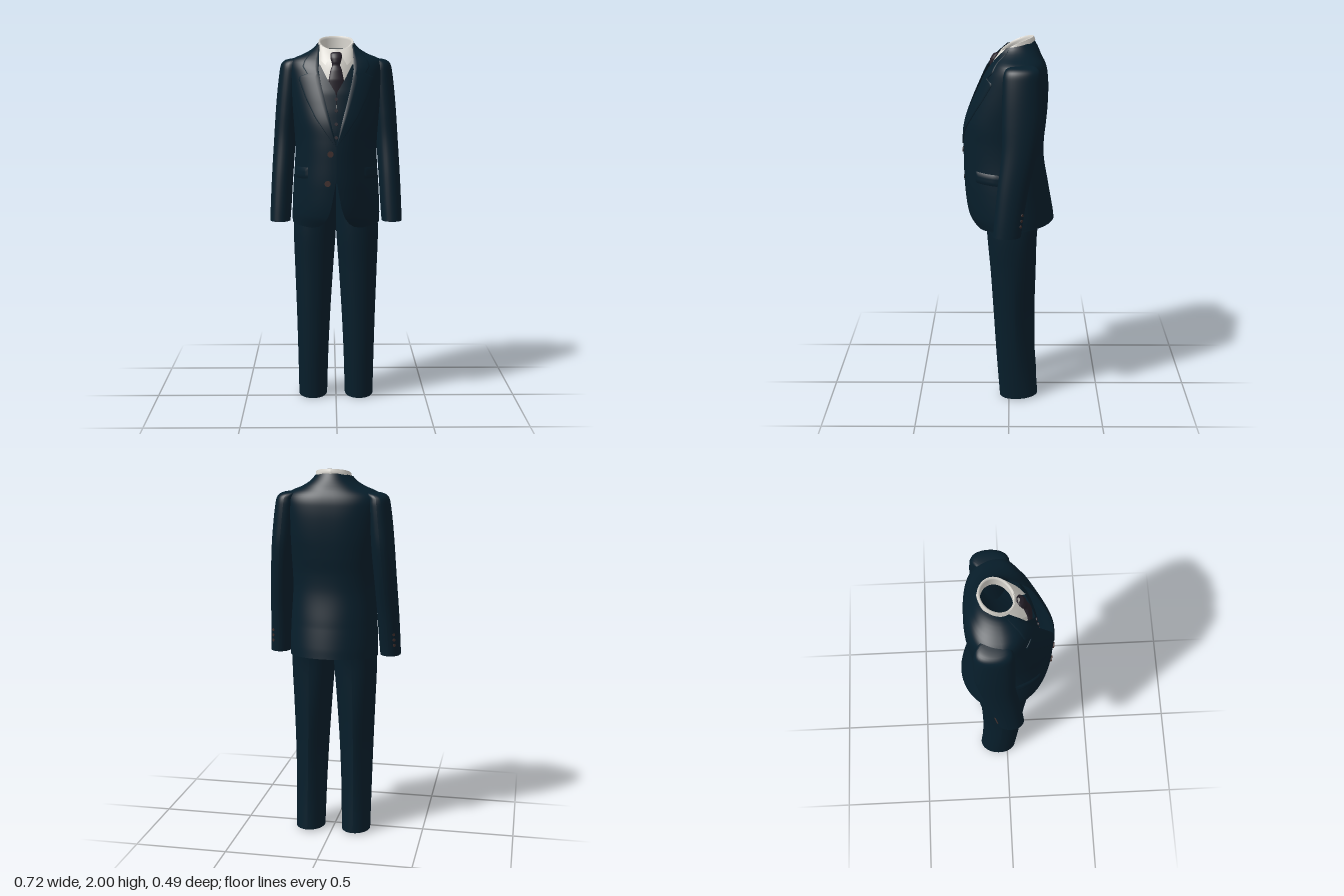
import * as THREE from 'three';

const mat = (name, color) => new THREE.MeshStandardMaterial({ name, color, side: THREE.DoubleSide });
const lerp = THREE.MathUtils.lerp;

// Reads a table of [y, a, b, ...] rows at height y, straight or smoothed
function read(table, y, smooth = false) {
  const n = table.length;
  let i = 0;
  while (i < n - 2 && y > table[i + 1][0]) i++;
  const p = table[i], q = table[i + 1];
  const h = q[0] - p[0], t = THREE.MathUtils.clamp((y - p[0]) / h, 0, 1);
  const o = table[Math.max(i - 1, 0)], r = table[Math.min(i + 2, n - 1)];
  return p.slice(1).map((a, k) => {
    const b = q[k + 1];
    if (!smooth) return lerp(a, b, t);
    const m0 = (b - o[k + 1]) / (q[0] - o[0]) * h, m1 = (r[k + 1] - a) / (r[0] - p[0]) * h;
    const t2 = t * t, t3 = t2 * t;
    return (2 * t3 - 3 * t2 + 1) * a + (t3 - 2 * t2 + t) * m0 + (3 * t2 - 2 * t3) * b + (t3 - t2) * m1;
  });
}

// Smooth sheet from a rule point(u, v), with u and v from 0 to 1
function sheet(name, material, nu, nv, point) {
  const pos = [], idx = [];
  for (let j = 0; j <= nv; j++) {
    for (let i = 0; i <= nu; i++) {
      pos.push(...point(i / nu, j / nv));
      if (i < nu && j < nv) {
        const a = j * (nu + 1) + i, b = a + nu + 1;
        idx.push(a, a + 1, b, a + 1, b + 1, b);
      }
    }
  }
  const g = new THREE.BufferGeometry();
  g.setAttribute('position', new THREE.Float32BufferAttribute(pos, 3));
  g.setIndex(idx);
  g.computeVertexNormals();
  const m = new THREE.Mesh(g, material);
  m.name = name;
  return m;
}

const pw = (c, e) => Math.sign(c) * Math.abs(c) ** e;

// Jacket body: y, half width, front z, back z, squareness of the back
const BODY = [
  [0.985, 0.238, 0.185, -0.243, 1], [1.05, 0.238, 0.218, -0.236, 1], [1.2, 0.232, 0.238, -0.213, 1],
  [1.35, 0.222, 0.243, -0.187, 0.95], [1.45, 0.222, 0.243, -0.185, 0.9], [1.55, 0.23, 0.236, -0.195, 0.85],
  [1.65, 0.24, 0.207, -0.203, 0.8], [1.75, 0.248, 0.168, -0.205, 0.78], [1.82, 0.252, 0.135, -0.2, 0.78],
  [1.85, 0.25, 0.115, -0.193, 0.8], [1.872, 0.24, 0.098, -0.184, 0.84], [1.888, 0.214, 0.085, -0.175, 0.88],
  [1.905, 0.17, 0.075, -0.166, 0.93], [1.93, 0.122, 0.06, -0.149, 1], [1.95, 0.101, 0.05, -0.131, 1]];
// Front edge of the jacket: y, x
const EDGE = [
  [0.985, 0.13], [0.995, 0.095], [1.015, 0.068], [1.05, 0.045], [1.1, 0.028], [1.2, 0.01],
  [1.26, 0], [1.43, 0], [1.55, 0.028], [1.65, 0.055], [1.75, 0.08], [1.82, 0.092], [1.95, 0.088]];
// Outer edge of lapel and collar, with the notch: y, x
const LAPEL = [
  [1.43, 0.004], [1.5, 0.055], [1.58, 0.11], [1.68, 0.16], [1.775, 0.195], [1.79, 0.188],
  [1.8, 0.15], [1.84, 0.175], [1.87, 0.165], [1.9, 0.14], [1.94, 0.102]];
// Sleeve: y, centre x, centre z, half width, half depth
const SLEEVE = [
  [1.008, 0.304, 0.01, 0.055, 0.073], [1.1, 0.299, 0.0, 0.057, 0.075], [1.25, 0.291, -0.02, 0.058, 0.08],
  [1.45, 0.278, -0.053, 0.059, 0.09], [1.6, 0.266, -0.065, 0.061, 0.1], [1.72, 0.254, -0.066, 0.062, 0.1],
  [1.82, 0.244, -0.066, 0.059, 0.096], [1.85, 0.24, -0.066, 0.055, 0.09], [1.865, 0.231, -0.066, 0.052, 0.082],
  [1.875, 0.218, -0.066, 0.046, 0.068], [1.881, 0.2, -0.066, 0.03, 0.045], [1.884, 0.19, -0.066, 0.002, 0.004]];
// Trouser leg: y, inner x, outer x, front z, back z, sharpness of the back crease
const LEG = [
  [0.003, 0.05, 0.208, 0.051, -0.16, 1], [0.25, 0.043, 0.212, 0.069, -0.145, 1.25],
  [0.5, 0.031, 0.218, 0.084, -0.14, 1.4], [0.75, 0.015, 0.226, 0.1, -0.145, 1.15],
  [0.95, 0.001, 0.231, 0.117, -0.15, 0.9], [1.1, -0.004, 0.222, 0.124, -0.165, 0.86],
  [1.25, -0.004, 0.203, 0.125, -0.155, 0.9]];
// Waistcoat: y, neck opening x, front z
const VEST = [
  [1.2, 0, 0.165], [1.35, 0, 0.172], [1.5, 0, 0.17], [1.6, 0, 0.16], [1.7, 0.002, 0.143], [1.78, 0.05, 0.116],
  [1.85, 0.085, 0.09]];
const SHIRT = [[1.62, 0.12], [1.75, 0.108], [1.85, 0.085], [1.93, 0.045]];
// Tie: y, half width, centre z, half depth
const TIE = [
  [1.64, 0.036, 0.115, 0.008], [1.7, 0.04, 0.118, 0.012], [1.77, 0.04, 0.113, 0.014], [1.82, 0.03, 0.1, 0.013],
  [1.845, 0.02, 0.089, 0.011], [1.86, 0.024, 0.085, 0.018], [1.885, 0.031, 0.076, 0.022],
  [1.908, 0.029, 0.066, 0.017], [1.915, 0.015, 0.061, 0.005]];

const ZC = -0.03;
// Point on the front of the jacket body, pushed out by d
function onBody(x, y, d) {
  const [w, f] = read(BODY, y, true), D = f - ZC;
  const c = Math.sqrt(Math.max(0, 1 - (x / w) ** 2));
  const n = new THREE.Vector2(x / (w * w), c / D).normalize();
  return [x + n.x * d, y, ZC + D * c + n.y * d];
}

// Top rim of the shirt collar, at angle a from the front
const rim = (a, r) => [r * Math.sin(a), 1.9625 - 0.0375 * Math.cos(a) + 0.01 * Math.sin(a) ** 2,
  -0.042 + (r - 0.007) * Math.cos(a)];

function button(material, r, p, dir) {
  const m = new THREE.Mesh(new THREE.CylinderGeometry(r, r, 0.008, 14), material);
  m.position.set(...p);
  m.quaternion.setFromUnitVectors(new THREE.Vector3(0, 1, 0), new THREE.Vector3(...dir).normalize());
  m.name = 'button';
  return m;
}

export function createModel() {
  const navy = mat('navy wool', 0x071e2b), white = mat('shirt white', 0xdad7d0);
  const dark = mat('tie charcoal', 0x241f28), brown = mat('button brown', 0x3d2c2a);
  const suit = new THREE.Group();
  suit.name = 'suit';

  // Jacket body, from one front edge round the back to the other
  suit.add(sheet('jacketBody', navy, 72, 96, (u, v) => {
    const y = lerp(0.985, 1.95, v), [w, f, b, e] = read(BODY, y, true), [xo] = read(EDGE, y);
    const start = Math.asin(Math.min(1, xo / w)), a = lerp(start, 2 * Math.PI - start, u);
    const s = Math.sin(a), c = Math.cos(a), back = (1 - c) / 2;
    const hem = Math.max(0, 1 - v * 5), top = Math.max(0, (v - 0.95) * 20);
    const y2 = y + back * 0.035 * hem + back * back * 0.03 * top;
    return c > 0 ? [w * s, y2, ZC + c * (f - ZC)] : [w * pw(s, e), y2, ZC + pw(c, e) * (ZC - b)];
  }));

  for (const s of [1, -1]) {
    const side = s > 0 ? 'left' : 'right';
    const mx = ([x, y, z]) => [s * x, y, z];

    // Lapel and collar, raised off the chest
    suit.add(sheet(side + 'Lapel', navy, 10, 70, (u, v) => {
      const y = lerp(1.43, 1.94, v);
      const x = lerp(read(EDGE, y)[0], read(LAPEL, y)[0], Math.min(1, u / 0.9));
      return mx(onBody(x, y, u === 0 || u > 0.95 ? 0 : 0.005));
    }));

    // Pocket flap
    suit.add(sheet(side + 'PocketFlap', navy, 10, 5, (u, v) => {
      const edge = u === 0 || u === 1 || v === 0 || v === 1;
      return mx(onBody(lerp(0.148, 0.218, u), lerp(1.255, 1.315, v) - u * 0.006, edge ? 0 : 0.006));
    }));

    // Sleeve, open at the cuff
    suit.add(sheet(side + 'Sleeve', navy, 32, 60, (u, v) => {
      const y = lerp(1.008, 1.884, 1 - (1 - v) ** 1.6), a = u * 2 * Math.PI;
      const [cx, cz, rx, rz] = read(SLEEVE, y, true);
      return mx([cx + rx * pw(Math.sin(a), 0.9), y, cz - rz * pw(Math.cos(a), 0.95)]);
    }));
    for (const y of [1.07, 1.1, 1.13]) {
      const [cx, cz, rx, rz] = read(SLEEVE, y, true);
      suit.add(button(brown, 0.008, mx([cx + rx * 0.55, y, cz - rz * 0.85]), [s * 0.6, 0, -0.8]));
    }

    // Trouser leg, creased behind the knee and open at both ends
    suit.add(sheet(side + 'TrouserLeg', navy, 40, 40, (u, v) => {
      const y = lerp(0.003, 1.25, v), a = u * 2 * Math.PI;
      const [xi, xo, f, b, crease] = read(LEG, y, true);
      const e = Math.cos(a) > 0 ? crease : 0.93, c = pw(Math.cos(a), e);
      const slant = 0.006 * (1 + c) * Math.max(0, 1 - v * 8);
      return mx([(xi + xo) / 2 + (xo - xi) / 2 * pw(Math.sin(a), e), y + slant, (f + b) / 2 - (f - b) / 2 * c]);
    }));

    // Waistcoat half, with a pointed hem
    suit.add(sheet(side + 'Waistcoat', navy, 12, 40, (u, v) => {
      const y = lerp(1.2, 1.85, v), [xo, f] = read(VEST, y);
      const x = lerp(xo, 0.13 + 0.04 * (1 - v), u);
      const hem = Math.max(0, 1 - v * 6) * Math.abs(x - 0.035) * 0.8;
      return mx([x, y + hem, f - 1.7 * x * x]);
    }));

    // Folded shirt collar, from its front point to the back
    const fall = new THREE.CatmullRomCurve3([
      [0.057, 1.845, 0.097], [0.088, 1.88, 0.05], [0.099, 1.925, -0.03], [0.075, 1.952, -0.1], [0, 1.962, -0.131],
    ].map(p => new THREE.Vector3(...p)));
    suit.add(sheet(side + 'ShirtCollar', white, 24, 4, (u, v) => {
      const a = lerp(0.12, Math.PI, u);
      const p = new THREE.Vector3(...rim(a, 0.093)).lerp(fall.getPoint(u), v);
      return mx([p.x, p.y, p.z + 0.006 * Math.sin(v * Math.PI) * Math.cos(a)]);
    }));
  }

  // Shirt neckband, with a rim turning inwards
  suit.add(sheet('shirtNeckband', white, 48, 6, (u, v) => {
    const [x, y, z] = rim(u * 2 * Math.PI, 0.093 - 0.009 * Math.min(1, v * 6));
    return [x, y - 0.08 * Math.max(0, v - 1 / 6), z];
  }));
  // Shirt front
  suit.add(sheet('shirtFront', white, 16, 16, (u, v) => {
    const y = lerp(1.62, 1.93, v), x = lerp(-0.105, 0.105, u);
    return [x, y, read(SHIRT, y, true)[0] - lerp(3.6, 7, v * v) * x * x - 0.004];
  }));

  // Tie with its knot
  suit.add(sheet('tie', dark, 20, 44, (u, v) => {
    const y = lerp(1.64, 1.915, v), a = u * 2 * Math.PI, [w, z, d] = read(TIE, y);
    return [w * Math.sin(a), y, z - d * Math.cos(a)];
  }));

  // Jacket buttons and waistcoat buttons
  for (const [x, y] of [[-0.03, 1.39], [-0.045, 1.235]]) {
    suit.add(button(brown, 0.016, onBody(x, y, 0.003), [x, 0, 0.2]));
  }
  for (const y of [1.47, 1.54, 1.61, 1.67]) {
    suit.add(button(dark, 0.009, [0, y, read(VEST, y)[1] + 0.002], [0, 0.2, 1]));
  }
  return suit;
}
